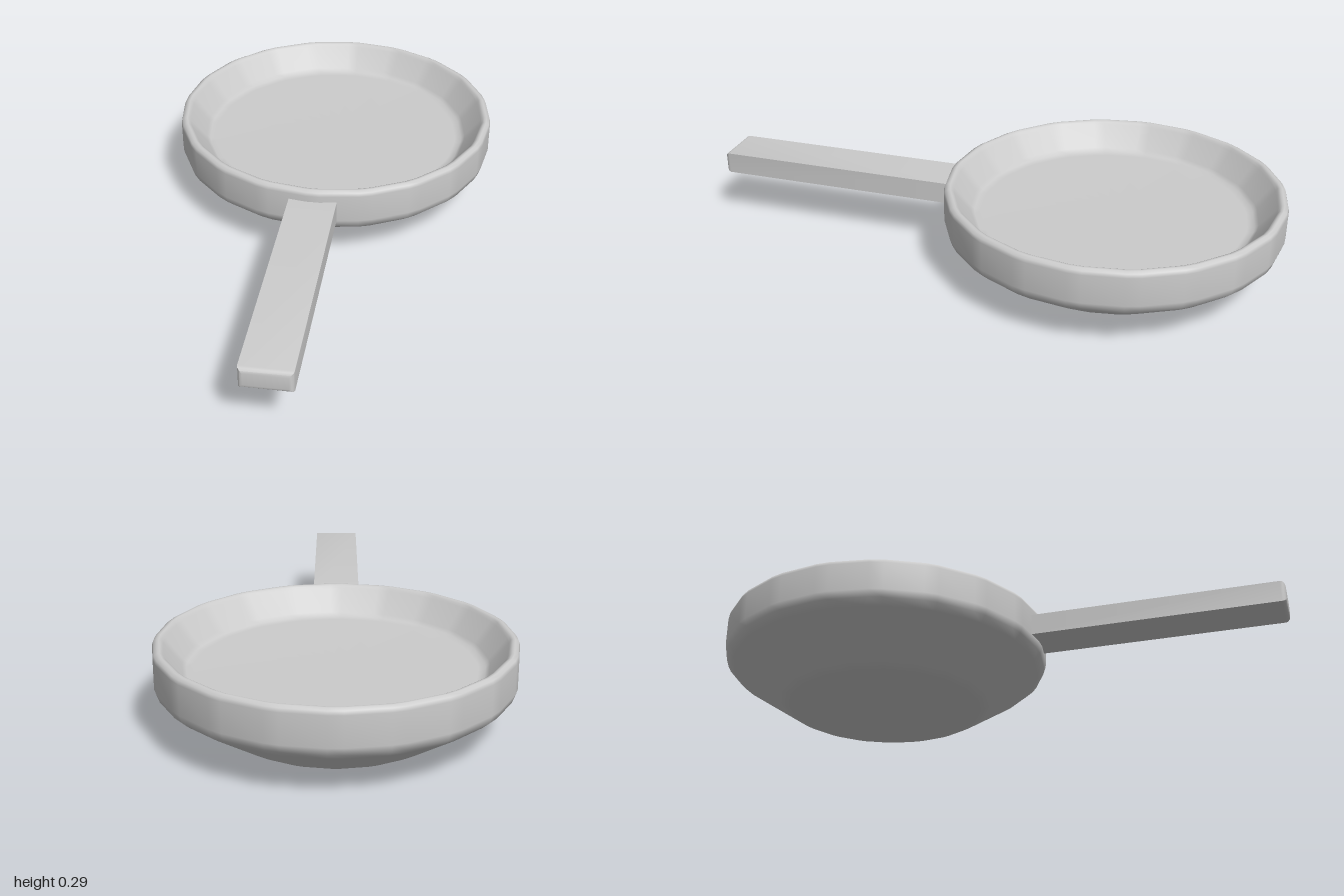
import * as THREE from 'three';
import { mergeVertices, toCreasedNormals } from 'three/addons/utils/BufferGeometryUtils.js';

const SIDES = 20;      // facets around the pan
const CORNER = 0.04;   // half angle of each softened corner

// Faceted bowl: a lathe whose columns are paired up around each corner
function facetedLathe(profile) {
  const points = profile.map(([r, y]) => new THREE.Vector2(r, y));
  const columns = SIDES * 2;
  const lathe = new THREE.LatheGeometry(points, columns);
  const pos = lathe.attributes.position;
  for (let i = 0; i < pos.count; i++) {
    const j = Math.floor(i / points.length) % columns;
    const p = points[i % points.length];
    const a = Math.floor(j / 2) * (Math.PI * 2 / SIDES) + (j % 2 ? CORNER : -CORNER);
    pos.setXYZ(i, p.x * Math.sin(a), p.y, p.x * Math.cos(a));
  }
  lathe.deleteAttribute('uv');
  lathe.deleteAttribute('normal');
  const geometry = mergeVertices(lathe);
  geometry.computeVertexNormals();
  return geometry;
}

// Rectangular bar along z with a rounded far end
function handleGeometry(width, height, zStart, zEnd, bevel) {
  const steps = 4;
  const geometry = new THREE.BoxGeometry(width, height, 1, 1, 1, steps);
  const pos = geometry.attributes.position;
  for (let i = 0; i < pos.count; i++) {
    const row = Math.round((pos.getZ(i) + 0.5) * steps);
    const a = Math.max(row - 1, 0) / (steps - 1) * Math.PI / 2;
    const inset = bevel * (1 - Math.cos(a));
    const z = row === 0 ? zStart : zEnd - bevel * (1 - Math.sin(a));
    pos.setXYZ(i,
      Math.sign(pos.getX(i)) * (width / 2 - inset),
      Math.sign(pos.getY(i)) * (height / 2 - inset), z);
  }
  return toCreasedNormals(geometry, 0.7);
}

export function createModel() {
  const group = new THREE.Group();
  group.name = 'fryingPan';
  const material = new THREE.MeshStandardMaterial({ color: 0xcccccc });

  // Pan: base, sloped side, upright wall, rim, then the inside down to the floor
  const pan = new THREE.Mesh(facetedLathe([
    [0, 0], [0.33, 0], [0.353, 0.005], [0.375, 0.018],
    [0.545, 0.13], [0.567, 0.15], [0.575, 0.175],
    [0.575, 0.272], [0.571, 0.284], [0.56, 0.29],
    [0.553, 0.29], [0.545, 0.286], [0.54, 0.277],
    [0.485, 0.208], [0.472, 0.197], [0.45, 0.192], [0, 0.192],
  ]), material);
  pan.name = 'pan';
  pan.position.z = -0.425;
  group.add(pan);

  // Straight handle at the front
  const handle = new THREE.Mesh(handleGeometry(0.164, 0.074, 0.12, 1, 0.016), material);
  handle.name = 'handle';
  handle.position.y = 0.213;
  group.add(handle);

  return group;
}
